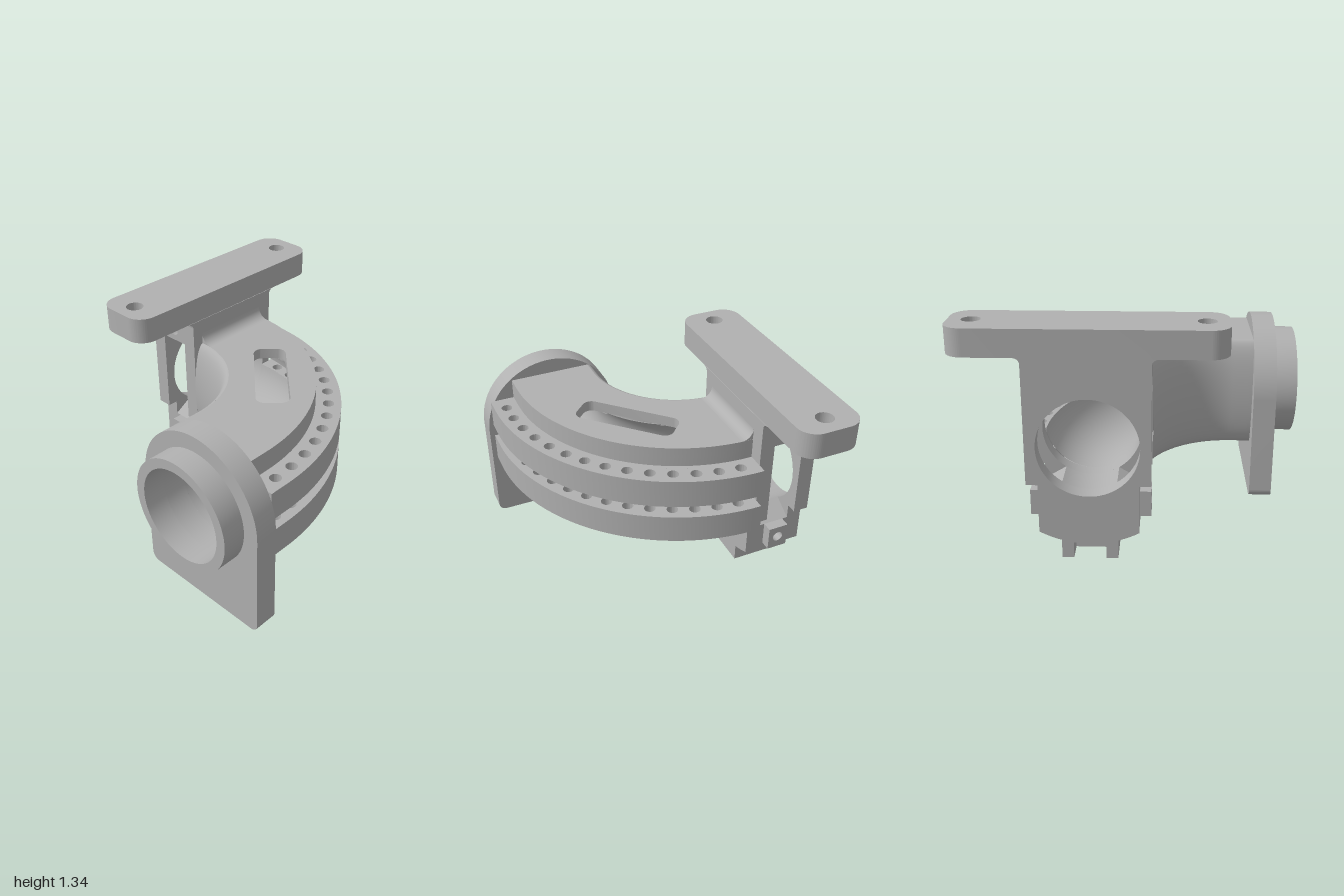
import * as THREE from 'three';
import { toCreasedNormals } from 'three/addons/utils/BufferGeometryUtils.js';

const grey = new THREE.MeshStandardMaterial({ color: 0xb0b0b0, side: THREE.DoubleSide });
grey.name = 'castGrey';

const BX = -0.595, BZ = -0.45;        // bend centre
const R = 0.835, CY = 0.67;           // duct centreline radius and height
const BORE = 0.285, CX = 0.245;       // bore radius, bracket centre x
const PI = Math.PI;

export function createModel() {
  const group = new THREE.Group();

  const add = (name, geometry) => {
    const mesh = new THREE.Mesh(toCreasedNormals(geometry, 0.5), grey);
    mesh.name = name;
    group.add(mesh);
    return mesh;
  };
  const extrude = (shape, depth) =>
    new THREE.ExtrudeGeometry(shape, { depth, bevelEnabled: false, curveSegments: 40 });
  // shape axes: (x, y), (x, -z) and (-z, y)
  const alongZ = (name, s, z0, z1) => add(name, extrude(s, z1 - z0).translate(0, 0, z0));
  const alongY = (name, s, y0, y1) => add(name, extrude(s, y1 - y0).rotateX(-PI / 2).translate(0, y0, 0));
  const alongX = (name, s, x0, x1) => add(name, extrude(s, x1 - x0).rotateY(PI / 2).translate(x0, 0, 0));

  const hole = (s, x, y, r) => {
    s.holes.push(new THREE.Path().absarc(x, y, r, 0, PI * 2, true));
    return s;
  };
  const roundRect = (x0, y0, x1, y1, r) => new THREE.Shape()
    .moveTo(x0 + r, y0).lineTo(x1 - r, y0).absarc(x1 - r, y0 + r, r, -PI / 2, 0)
    .lineTo(x1, y1 - r).absarc(x1 - r, y1 - r, r, 0, PI / 2)
    .lineTo(x0 + r, y1).absarc(x0 + r, y1 - r, r, PI / 2, PI)
    .lineTo(x0, y0 + r).absarc(x0 + r, y0 + r, r, PI, PI * 1.5);
  const rect = (x0, y0, x1, y1) => new THREE.Shape(
    [[x0, y0], [x1, y0], [x1, y1], [x0, y1]].map(p => new THREE.Vector2(...p)));
  const arc = (x, y, r, a0, a1, n) => Array.from({ length: n + 1 }, (_, i) => {
    const a = a0 + (a1 - a0) * i / n;
    return [x + r * Math.cos(a), y + r * Math.sin(a)];
  });
  const poly = pts => new THREE.Shape(pts.map(p => new THREE.Vector2(...p)));
  // concave fillet in a corner, opening towards (sx, sy)
  const fillet = (x, y, r, sx, sy) => poly([[x, y],
    ...arc(r, r, r, -PI / 2, -PI, 10).map(p => [x + sx * p[0], y + sy * p[1]])]);

  // ---- End flange and socket ----
  const flange = new THREE.Shape().moveTo(-0.775, 0).lineTo(0.005, 0)
    .absarc(0.005, 0.05, 0.05, -PI / 2, 0).lineTo(0.055, CY)
    .absarc(-0.385, CY, 0.44, 0, PI).lineTo(-0.825, 0.05)
    .absarc(-0.775, 0.05, 0.05, PI, PI * 1.5);
  alongX('endFlange', hole(flange, -0.385, CY, BORE), -0.86, -0.72);
  const socket = new THREE.Shape().absarc(-0.385, CY, 0.345, 0, PI * 2);
  alongX('socketRing', hole(socket, -0.385, CY, BORE), -1, -0.86);

  // ---- Curved duct: sections (r, y) swept along a short straight and a quarter bend ----
  const stations = [-0.72, -0.69, -0.65, -0.62].map(x => r => [x, BZ + r]);
  for (let i = 0; i <= 64; i++) {
    const a = PI / 2 * (1 - i / 64);
    stations.push(r => [BX + r * Math.cos(a), BZ + r * Math.sin(a)]);
  }
  const sweep = (name, section, skip = () => false) => {
    const pos = [];
    const at = (i, j) => {
      const [x, z] = stations[i](section[j][0]);
      return [x, CY + section[j][1], z];
    };
    for (let i = 0; i < stations.length - 1; i++) {
      for (let j = 0; j < section.length - 1; j++) {
        const a = at(i, j), b = at(i + 1, j), c = at(i + 1, j + 1), d = at(i, j + 1);
        if ([a, b, c, d].some(skip)) continue;
        pos.push(...a, ...b, ...c, ...a, ...c, ...d);
      }
    }
    const g = new THREE.BufferGeometry();
    g.setAttribute('position', new THREE.Float32BufferAttribute(pos, 3));
    g.computeVertexNormals();
    return add(name, g);
  };
  const lip = [[1.117, 0.04], [1.117, 0.22], [1.09, 0.22], [1.09, 0.345]];
  sweep('ductUpperWall', lip);
  const inner = arc(0, 0, 1, PI / 2, -PI / 2, 20).map(([c, s]) => [0.57 - 0.08 * c, 0.345 * s]);
  sweep('ductOuterWall', [...inner, ...lip.map(([r, y]) => [r, -y]).reverse()]);

  // bore, open along the outer slot and under the top pocket
  const PX = -0.01, PY = -0.13;
  const underPocket = ([x, y, z]) => {
    const u = (x - PX - z - PY) * Math.SQRT1_2, v = (-(x - PX) - z - PY) * Math.SQRT1_2;
    return y > CY && Math.abs(u) < 0.313 && Math.abs(v) < 0.1;
  };
  const gap = Math.asin(0.04 / BORE);
  sweep('ductBore', arc(R, 0, BORE, -gap, gap - PI * 2, 72), underPocket);

  // plan outline between two radii
  const sector = (r0, r1) => new THREE.Shape()
    .moveTo(BX + r0, -BZ).lineTo(BX + r1, -BZ)
    .absarc(BX, -BZ, r1, 0, -PI / 2, true)
    .lineTo(-0.72, -BZ - r1).lineTo(-0.72, -BZ - r0).lineTo(BX, -BZ - r0)
    .absarc(BX, -BZ, r0, -PI / 2, 0, false);
  const top = sector(0.57, 1.09);
  const pocket = roundRect(-0.313, -0.1, 0.313, 0.1, 0.055).getPoints(8)
    .map(p => p.rotateAround(new THREE.Vector2(), PI / 4).add(new THREE.Vector2(PX, PY)));
  top.holes.push(new THREE.Path(pocket));
  alongY('ductTop', top, 0.948, 1.015);

  // ---- Two drilled rails round the outside ----
  for (const [name, y] of [['lowerRail', 0.45], ['upperRail', 0.71]]) {
    const rail = sector(1.117, 1.243);
    for (let i = 0; i < 14; i++) {
      const a = THREE.MathUtils.degToRad(5.4 + i * 6.56);
      hole(rail, BX + 1.167 * Math.cos(a), -BZ - 1.167 * Math.sin(a), 0.034);
    }
    alongY(name, rail, y, y + 0.18);
  }

  // ---- Bracket ----
  const W = 0.345, N = 0.28;           // half widths above and below the side step
  const Z0 = -0.83, Z1 = -0.735, Z2 = -0.54, Z3 = -0.45;
  const under = Math.acos(N / 0.58);
  const bottomArc = arc(CX, CY, 0.58, -PI + under, -under, 20);
  const cheek = () => hole(poly([...bottomArc,
    [CX + N, 0.45], [CX + W, 0.45], [CX + W, 1.18],
    [CX - W, 1.18], [CX - W, 0.45], [CX - N, 0.45]]), CX, CY, BORE);
  alongZ('bracketFrontCheek', cheek(), Z2, Z3);
  alongZ('bracketBackCheek', cheek(), Z0, Z1);

  // filling between the cheeks, above and below the side window
  const beam = (name, x0, x1, za, zb, y0, y1, hy) =>
    alongX(name, hole(rect(-zb, y0, -za, y1), 0.635, hy, 0.033), CX + x0, CX + x1);
  beam('bracketUpperBeam', -W, W, Z1, Z2, 1.0, 1.18, 1.07);
  beam('bracketLowerBeam', -N, N, Z1, Z2, 0.2, 0.355, 0.28);
  beam('sideLugLeft', N, W, -0.7, -0.57, 0.2, 0.355, 0.28);
  beam('sideLugRight', -W, -N, -0.7, -0.57, 0.2, 0.355, 0.28);
  const e = Math.asin(0.24 / BORE);
  alongZ('windowTop', poly([[CX + W, 1.0], [CX - W, 1.0],
    ...arc(CX, CY, BORE, PI - e, e, 16)]), Z1, Z2);
  alongZ('windowBottom', poly([[CX - N, 0.355], [CX + N, 0.355],
    ...arc(CX, CY, BORE, -e, -PI + e, 16)]), Z1, Z2);
  alongZ('bracketBelly', poly([...bottomArc, [CX + N, 0.2], [CX - N, 0.2]]), Z1, Z2);

  // foot with a notch at the back
  alongZ('foot', rect(0.083, 0, 0.4, 0.13), -0.71, Z3);
  alongZ('footLegRight', rect(0.083, 0, 0.15, 0.13), Z0, -0.71);
  alongZ('footLegLeft', rect(0.333, 0, 0.4, 0.13), Z0, -0.71);

  // mounting plate with two bolt holes
  const plate = roundRect(-0.513, 0.453, 1, 0.83, 0.11);
  for (const x of [-0.39, 0.872]) hole(plate, x, 0.643, 0.053);
  alongY('mountingPlate', plate, 1.18, 1.337);

  // fillets
  for (const s of [-1, 1]) alongZ('plateFillet', fillet(CX + s * W, 1.18, 0.035, s, -1), Z0, Z3);
  alongX('ductFillet', fillet(0.45, 1.015, 0.07, -1, 1), -0.027, 0.493);

  return group;
}
